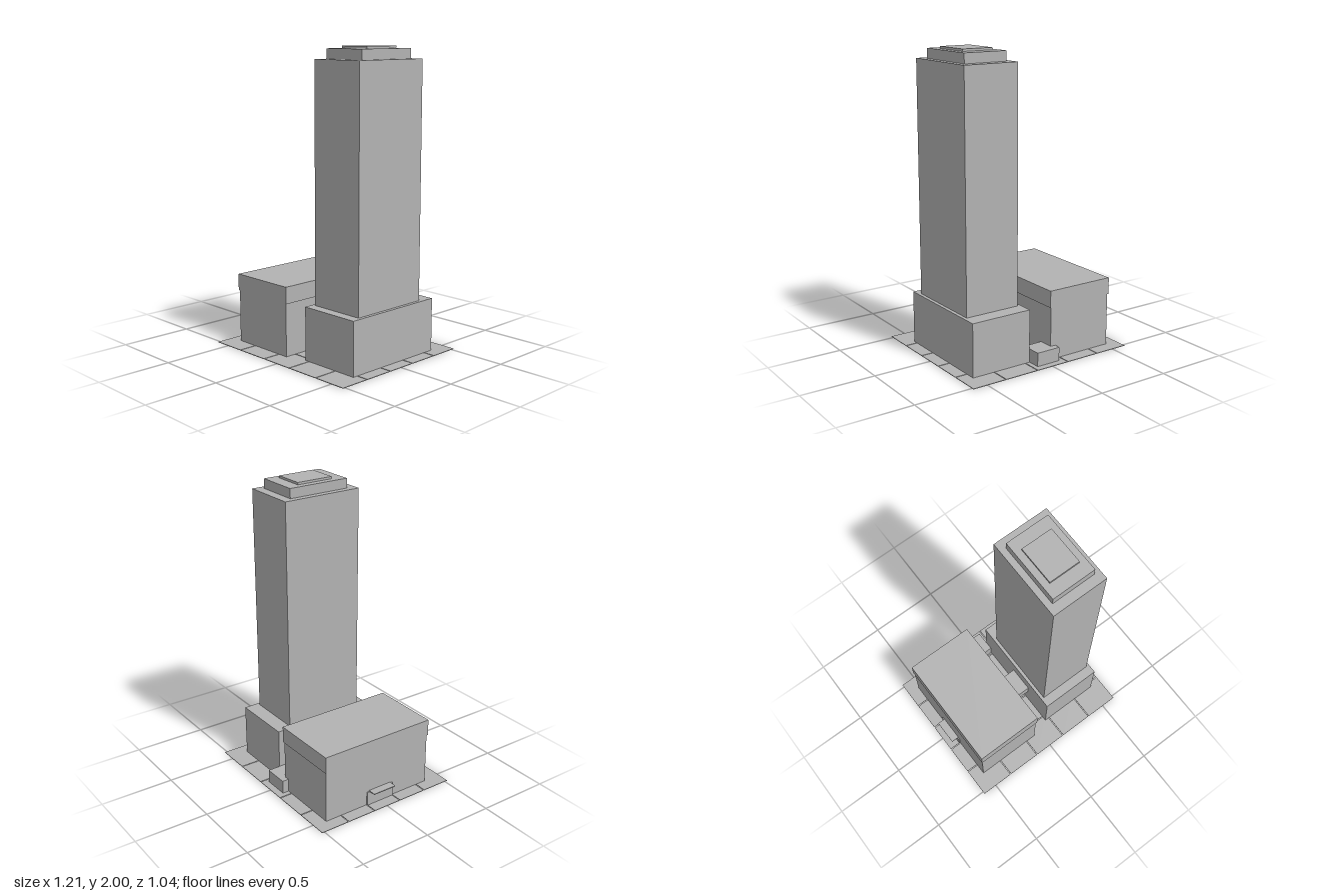
import * as THREE from 'three';

export function createModel() {
  const model = new THREE.Group();
  const concrete = new THREE.MeshStandardMaterial({ color: 0xb2b2b2 });
  concrete.name = 'concreteGrey';

  // Box from its min and max along each axis
  function block(name, [x0, x1], [y0, y1], [z0, z1], parent = model) {
    const mesh = new THREE.Mesh(new THREE.BoxGeometry(x1 - x0, y1 - y0, z1 - z0), concrete);
    mesh.position.set((x0 + x1) / 2, (y0 + y1) / 2, (z0 + z1) / 2);
    mesh.name = name;
    parent.add(mesh);
  }

  // Paving: five by five slabs with narrow joints
  const paving = new THREE.Group();
  paving.name = 'paving';
  model.add(paving);
  const n = 5, gap = 0.006, halfX = 0.603, halfZ = 0.518, top = 0.004;
  const w = (2 * halfX - (n - 1) * gap) / n;
  const d = (2 * halfZ - (n - 1) * gap) / n;
  for (let i = 0; i < n; i++) {
    for (let j = 0; j < n; j++) {
      const x = -halfX + i * (w + gap), z = -halfZ + j * (d + gap);
      block('pavingSlab', [x, x + w], [0, top], [z, z + d], paving);
    }
  }

  // Tower on its podium, with stepped crown
  block('podium', [0.088, 0.52], [top, 0.36], [-0.385, 0.348]);
  block('towerShaft', [0.11, 0.497], [0.36, 1.92], [-0.281, 0.281]);
  block('crownStep', [0.152, 0.455], [1.92, 1.985], [-0.217, 0.217]);
  block('roofCap', [0.197, 0.411], [1.985, 2.0], [-0.13, 0.13]);

  // Low annex with a slightly overhanging upper storey
  block('annexBase', [-0.518, -0.048], [top, 0.36], [-0.428, 0.391]);
  block('annexUpperStorey', [-0.524, -0.04], [0.36, 0.473], [-0.434, 0.397]);

  // Links between annex and podium
  block('footbridge', [-0.049, 0.089], [0.17, 0.25], [-0.044, 0.131]);
  block('rearLobby', [-0.085, 0.0875], [top, 0.095], [-0.472, -0.326]);

  // Side entrance
  block('entrancePanel', [-0.526, -0.517], [top, 0.1], [-0.105, 0.105]);
  block('entranceCanopy', [-0.573, -0.517], [0.1, 0.106], [-0.086, 0.087]);

  return model;
}
